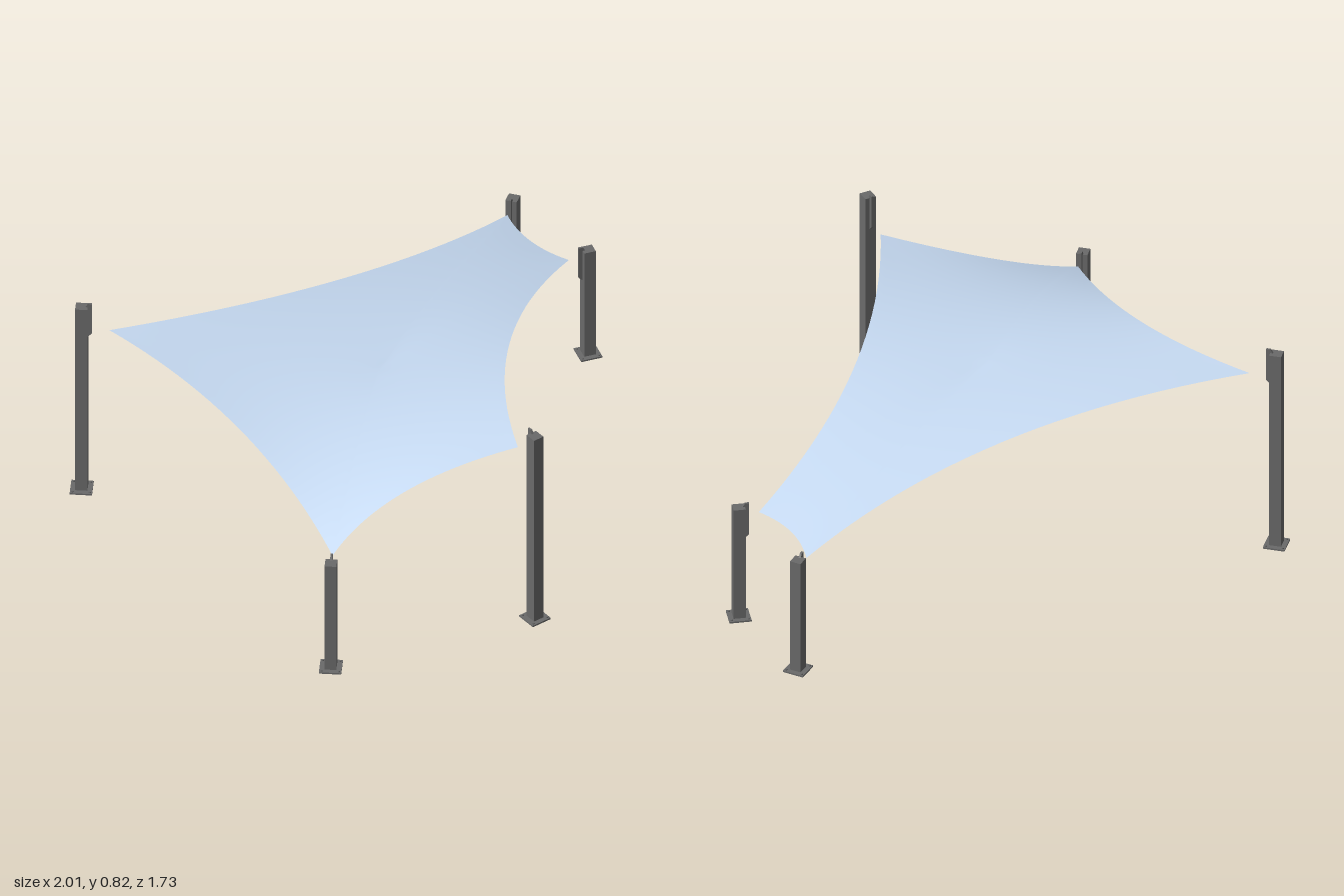
import * as THREE from 'three';

const steel = new THREE.MeshStandardMaterial({ color: 0x6a6a6a });
const cloth = new THREE.MeshStandardMaterial({ color: 0xc6daf2, side: THREE.DoubleSide });
const V = (x, y, z) => new THREE.Vector3(x, y, z);

// sail corners in order, each with the middle of the edge that follows, and its post
const CORNERS = [
  { at: V(-0.87, 0.71, -0.74), mid: V(0.04, 0.605, -0.547), post: [-0.94, -0.81], height: 0.81 },
  { at: V(0.89, 0.435, -0.625), mid: V(0.852, 0.437, -0.45), post: [0.945, -0.66], height: 0.465 },
  { at: V(0.885, 0.435, -0.28), mid: V(0.26, 0.6, 0.13), post: [0.953, -0.255], height: 0.465 },
  { at: V(-0.2, 0.7, 0.72), mid: V(-0.575, 0.575, 0.535), post: [-0.205, 0.82], height: 0.81 },
  { at: V(-0.9, 0.445, 0.525), mid: V(-0.797, 0.595, -0.11), post: [-0.95, 0.575], height: 0.465 },
];

// closed rim of curved edges, each passing through its middle point
function rimPoints(perEdge) {
  return CORNERS.flatMap(({ at, mid }, i) => {
    const next = CORNERS[(i + 1) % CORNERS.length].at;
    const control = mid.clone().multiplyScalar(2).addScaledVector(at, -0.5).addScaledVector(next, -0.5);
    return new THREE.QuadraticBezierCurve3(at, control, next).getPoints(perEdge).slice(0, -1);
  });
}

// stretched membrane: rings around a centre, heights relaxed from the rim inwards
function sailGeometry() {
  const rim = rimPoints(24), n = rim.length, rings = 18;
  const centre = V(-0.2, 0.6, -0.05);
  const pts = [centre];
  for (let r = 1; r <= rings; r++)
    for (const p of rim) pts.push(centre.clone().lerp(p, r / rings));
  const id = (r, s) => (r === 0 ? 0 : 1 + (r - 1) * n + (s % n));
  const index = [];
  for (let r = 0; r < rings; r++)
    for (let s = 0; s < n; s++) {
      index.push(id(r, s), id(r + 1, s + 1), id(r + 1, s));
      if (r > 0) index.push(id(r, s), id(r, s + 1), id(r + 1, s + 1));
    }

  // cotangent weights measured in plan
  const links = pts.map(() => new Map());
  const add = (a, b, w) => links[a].set(b, (links[a].get(b) || 0) + w);
  for (let t = 0; t < index.length; t += 3)
    for (let k = 0; k < 3; k++) {
      const [a, b, c] = [0, 1, 2].map((j) => index[t + ((k + j) % 3)]);
      const ux = pts[b].x - pts[a].x, uz = pts[b].z - pts[a].z;
      const vx = pts[c].x - pts[a].x, vz = pts[c].z - pts[a].z;
      const w = (ux * vx + uz * vz) / Math.abs(ux * vz - uz * vx);
      add(b, c, w);
      add(c, b, w);
    }
  const inner = 1 + (rings - 1) * n;
  const around = links.slice(0, inner).map((m) => [...m]);
  for (let pass = 0; pass < 1500; pass++)
    for (let i = 0; i < inner; i++) {
      let sum = 0, total = 0;
      for (const [j, w] of around[i]) {
        sum += w * pts[j].y;
        total += w;
      }
      pts[i].y = sum / total;
    }

  const geo = new THREE.BufferGeometry().setFromPoints(pts);
  geo.setIndex(index);
  geo.computeVertexNormals();
  return geo;
}

function part(parent, name, geometry, x, y, z) {
  const mesh = new THREE.Mesh(geometry, steel);
  mesh.name = name;
  mesh.position.set(x, y, z);
  parent.add(mesh);
  return mesh;
}

// square post on a bolted foot plate, its fixing lug on the +z side
function makePost(height) {
  const post = new THREE.Group();
  post.name = 'post';
  part(post, 'footPlate', new THREE.BoxGeometry(0.08, 0.006, 0.08), 0, 0.003, 0);
  part(post, 'column', new THREE.BoxGeometry(0.042, height - 0.006, 0.044), 0, (height + 0.006) / 2, 0);
  for (const x of [-0.031, 0.031])
    for (const z of [-0.031, 0.031])
      part(post, 'bolt', new THREE.CylinderGeometry(0.004, 0.004, 0.004, 6), x, 0.008, z);

  // lug with a sloped lower end
  const outline = new THREE.Shape([
    [-0.01, -0.13], [0.022, -0.13], [0.037, -0.115], [0.037, 0.015], [0.022, 0.015], [0.012, 0],
    [-0.01, 0],
  ].map(([x, y]) => new THREE.Vector2(x, y)));
  const lug = new THREE.ExtrudeGeometry(outline, { depth: 0.008, bevelEnabled: false });
  lug.translate(0, 0, -0.004).rotateY(-Math.PI / 2);
  part(post, 'fixingLug', lug, 0, height - 0.001, 0);
  return post;
}

export function createModel() {
  const model = new THREE.Group();
  model.name = 'shadeSail';

  const sail = new THREE.Mesh(sailGeometry(), cloth);
  sail.name = 'sail';
  model.add(sail);

  // each post turns its lug towards its sail corner
  for (const { at, post: [x, z], height } of CORNERS) {
    const post = makePost(height);
    post.position.set(x, 0, z);
    post.rotation.y = Math.atan2(at.x - x, at.z - z);
    model.add(post);
  }
  return model;
}
